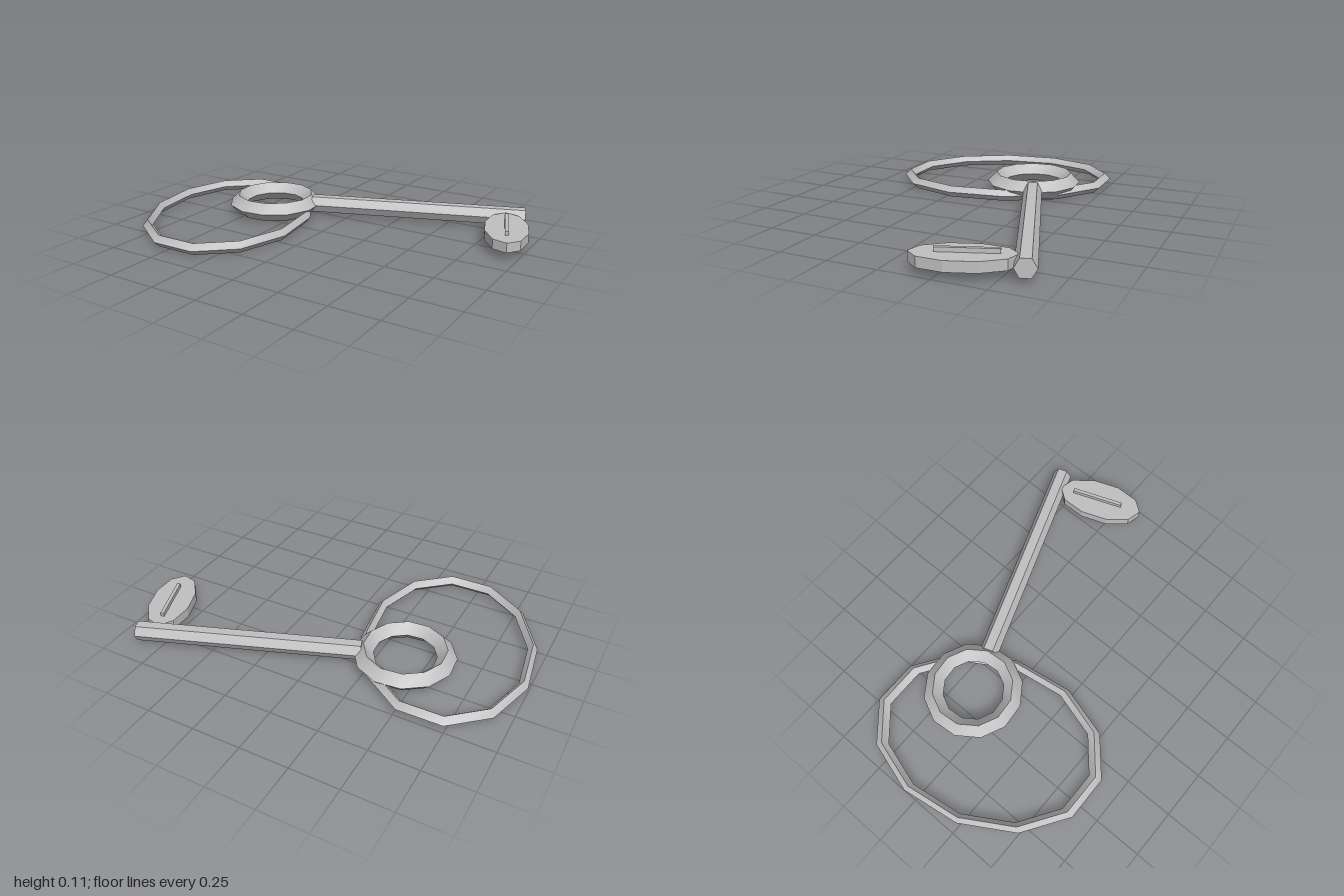
import * as THREE from 'three';

// Closed 12-segment band with a diamond section: smooth along, creased across.
// a and b are the two half-axis vectors [x, z] of the outer edge.
function diamondRing(a, b, inner, midY, halfH, segments = 12) {
  const mid = (1 + inner) / 2;
  const profile = [[1, midY], [mid, midY + halfH], [inner, midY], [mid, midY - halfH]];
  const pos = [], index = [];
  for (let k = 0; k < 4; k++) {
    const base = k * segments * 2;
    for (let i = 0; i < segments; i++) {
      const t = (i / segments) * Math.PI * 2, c = Math.cos(t), s = Math.sin(t);
      for (const [r, y] of [profile[k], profile[(k + 1) % 4]]) {
        pos.push(r * (a[0] * c + b[0] * s), y, r * (a[1] * c + b[1] * s));
      }
      const p = base + i * 2, n = base + ((i + 1) % segments) * 2;
      index.push(p, p + 1, n, p + 1, n + 1, n);
    }
  }
  const g = new THREE.BufferGeometry();
  g.setAttribute('position', new THREE.Float32BufferAttribute(pos, 3));
  g.setIndex(index);
  g.computeVertexNormals();
  return g;
}

export function createModel() {
  const model = new THREE.Group();
  model.name = 'keyOnRing';
  const metal = new THREE.MeshStandardMaterial({ color: 0xc0c0c0 });
  metal.name = 'grey metal';

  const add = (parent, name, geometry, x, y, z) => {
    const mesh = new THREE.Mesh(geometry, metal);
    mesh.name = name;
    mesh.position.set(x, y, z);
    parent.add(mesh);
    return mesh;
  };
  // Facet a built-in geometry
  const faceted = (g) => {
    const f = g.toNonIndexed();
    f.computeVertexNormals();
    return f;
  };

  // Large oval key ring lying on the ground
  add(model, 'keyRing', diamondRing([0.46, 0.148], [-0.03, 0.57], 0.89, 0.03, 0.03), -0.54, 0, 0.078);

  // Key, built along +x from the centre of its bow
  const key = new THREE.Group();
  key.name = 'key';
  key.position.set(-0.4, 0, -0.145);
  key.rotation.y = THREE.MathUtils.degToRad(20);
  model.add(key);

  add(key, 'bow', diamondRing([0.255, 0], [0, 0.255], 0.615, 0.06, 0.05), 0, 0, 0);

  // Hexagonal shaft
  const start = 0.215, end = 1.362;
  const shaft = new THREE.CylinderGeometry(0.049, 0.049, end - start, 6).rotateZ(-Math.PI / 2);
  add(key, 'shaft', faceted(shaft), (start + end) / 2, 0.064, 0);

  // Ten-sided oval bit with a raised rib
  const bit = new THREE.CylinderGeometry(1, 1, 0.05, 10).scale(0.112, 1, 0.23);
  add(key, 'bit', faceted(bit), 1.263, 0.064, 0.257);
  add(key, 'bitRib', new THREE.BoxGeometry(0.018, 0.03, 0.275), 1.263, 0.095, 0.24);

  return model;
}
